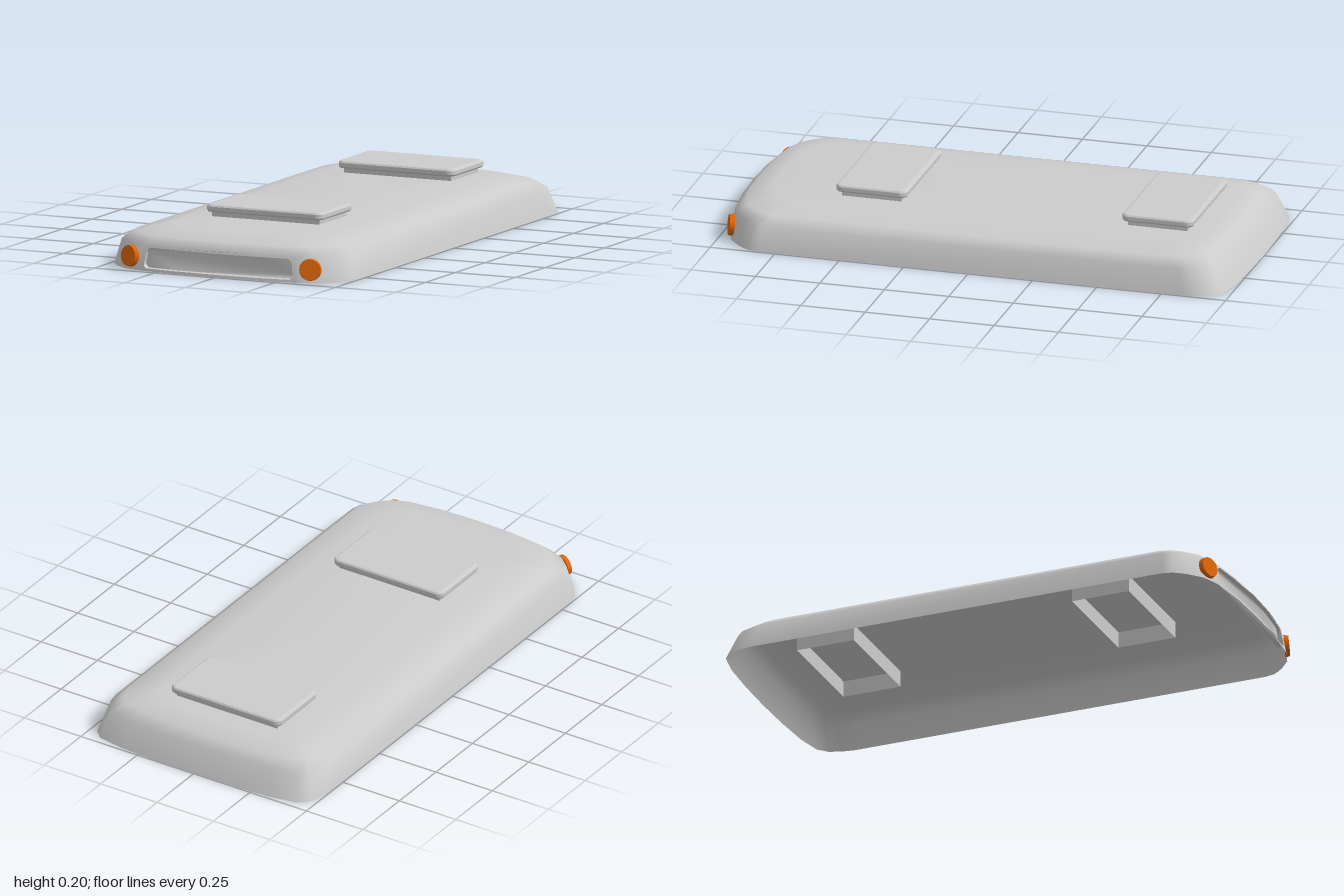
import * as THREE from 'three';

const shellGrey = new THREE.MeshStandardMaterial({ color: 0xcccccc, side: THREE.DoubleSide });
shellGrey.name = 'shell grey';
const lampOrange = new THREE.MeshStandardMaterial({ color: 0xe0660a });
lampOrange.name = 'lamp orange';

// Plan outline at the base, from the middle of the front round the +x side to the back
const half = [[0, 0.995], [0.17, 0.99], [0.33, 0.973], [0.4, 0.947], [0.455, 0.9], [0.485, 0.86], [0.495, 0.82],
  [0.495, -0.84], [0.487, -0.89], [0.47, -0.935], [0.435, -0.968], [0.33, -0.988], [0.17, -0.997], [0, -1]];
const outline = [...half, ...half.slice(1, -1).reverse().map(([x, z]) => [-x, z])];

// Rings up the shell: height, half width, front reach, back reach
const rings = [[0, 0.495, 0.995, 1], [0.095, 0.47, 0.98, 0.958], [0.127, 0.43, 0.945, 0.915], [0.152, 0.315, 0.855, 0.84]];
const PANEL = 0.33, PANEL_TOP = 0.095;

function mesh(name, geometry, material, parent) {
  const m = new THREE.Mesh(geometry, material);
  m.name = name;
  parent.add(m);
  return m;
}

function roundedRect(w, h, r, cy = 0) {
  const s = new THREE.Shape(), x = w / 2, y = h / 2;
  s.absarc(x - r, cy + y - r, r, 0, Math.PI / 2);
  s.absarc(-x + r, cy + y - r, r, Math.PI / 2, Math.PI);
  s.absarc(-x + r, cy - y + r, r, Math.PI, Math.PI * 1.5);
  s.absarc(x - r, cy - y + r, r, Math.PI * 1.5, Math.PI * 2);
  return s;
}

// Front reach of the base outline at a given x
function frontZ(x) {
  const a = Math.abs(x);
  const i = a < 0.17 ? 0 : 1;
  const [[x0, z0], [x1, z1]] = [half[i], half[i + 1]];
  return z0 + (z1 - z0) * (a - x0) / (x1 - x0);
}

// Point on the lower front wall
function onWall(u, y) {
  const t = y / PANEL_TOP;
  return [u * (1 + t * (0.47 / 0.495 - 1)), y, frontZ(u) * (1 + t * (0.98 / 0.995 - 1))];
}

// Hollow shell, open underneath, with a gap for the front panel
function shellGeometry() {
  const pos = [], all = [], kept = [], n = outline.length;
  for (const [y, w, f, b] of rings)
    for (const [x, z] of outline) pos.push(x * w / 0.495, y, z > 0 ? z * f / 0.995 : z * b);
  for (let r = 0; r < rings.length - 1; r++)
    for (let i = 0; i < n; i++) {
      const j = (i + 1) % n, a = r * n + i, b = r * n + j;
      const quad = [a, b, b + n, a, b + n, a + n];
      all.push(...quad);
      const inPanel = r === 0 && [i, j].every(k => outline[k][1] > 0 && Math.abs(outline[k][0]) <= PANEL);
      if (!inPanel) kept.push(...quad);
    }
  const top = (rings.length - 1) * n, centre = pos.length / 3;
  pos.push(0, 0.154, 0);
  for (let i = 0; i < n; i++) {
    const tri = [centre, top + i, top + (i + 1) % n];
    all.push(...tri);
    kept.push(...tri);
  }
  const g = new THREE.BufferGeometry();
  g.setAttribute('position', new THREE.Float32BufferAttribute(pos, 3));
  g.setIndex(all);
  g.computeVertexNormals();
  g.setIndex(kept);
  return g;
}

// Bends a flat shape onto the wall by a rule
function bend(geometry, rule) {
  const p = geometry.attributes.position;
  for (let i = 0; i < p.count; i++) p.setXYZ(i, ...rule(p.getX(i), p.getY(i)));
  geometry.computeVertexNormals();
  return geometry;
}

function addFront(parent) {
  // Opening outline, with extra points so it follows the bowed front
  const raw = roundedRect(0.626, 0.077, 0.02, 0.0485).getPoints(5);
  const pts = [];
  raw.forEach((p, i) => {
    const q = raw[(i + 1) % raw.length];
    if (p.distanceTo(q) < 1e-5) return;
    pts.push(p);
    if (Math.abs(p.x - q.x) > 0.3)
      for (const t of [0.17, 0, -0.17]) pts.push(new THREE.Vector2(Math.sign(p.x) * t, p.y));
  });
  const panel = new THREE.Shape([[-PANEL, 0], [-0.17, 0], [0, 0], [0.17, 0], [PANEL, 0], [PANEL, PANEL_TOP],
    [0.17, PANEL_TOP], [0, PANEL_TOP], [-0.17, PANEL_TOP], [-PANEL, PANEL_TOP]].map(p => new THREE.Vector2(...p)));
  panel.holes.push(new THREE.Path(pts));
  const wall = bend(new THREE.ShapeGeometry(panel), onWall);
  const { position, normal } = wall.attributes, v = new THREE.Vector3();
  for (let i = 0; i < position.count; i++) {
    v.set(position.getX(i) * 0.4, 0.15 + 2.2 * position.getY(i), 0.95).normalize();
    normal.setXYZ(i, v.x, v.y, v.z);
  }
  mesh('frontPanel', wall, shellGrey, parent);

  // Recessed plate and the rim joining it to the wall
  const inset = (u, y) => [onWall(u, y)[0], y, frontZ(u) - 0.027];
  mesh('recessedPlate', bend(new THREE.ShapeGeometry(new THREE.Shape(pts)), inset), shellGrey, parent);
  const pos = [];
  pts.forEach((p, i) => {
    const q = pts[(i + 1) % pts.length];
    const a = onWall(p.x, p.y), b = onWall(q.x, q.y), c = inset(q.x, q.y), d = inset(p.x, p.y);
    pos.push(...a, ...b, ...c, ...a, ...c, ...d);
  });
  const rim = new THREE.BufferGeometry();
  rim.setAttribute('position', new THREE.Float32BufferAttribute(pos, 3));
  rim.computeVertexNormals();
  mesh('recessRim', rim, shellGrey, parent);

  // Round corner lamps
  for (const side of [1, -1]) {
    const g = new THREE.CylinderGeometry(0.039, 0.042, 0.018, 20).rotateX(Math.PI / 2);
    const lamp = mesh(side > 0 ? 'leftLamp' : 'rightLamp', g, lampOrange, parent);
    lamp.position.set(side * 0.374, 0.05, 0.956);
    lamp.rotation.set(-0.1, side * 0.38, 0, 'YXZ');
  }
}

// Roof vent: chamfered lid on an open duct that reaches down inside the shell
function addVent(name, z, parent) {
  const vent = new THREE.Group();
  vent.name = name;
  vent.position.z = z;
  const lid = new THREE.ExtrudeGeometry(roundedRect(0.456, 0.25, 0.015), {
    depth: 0.014, bevelThickness: 0.008, bevelSize: 0.014, bevelSegments: 2, curveSegments: 4,
  }).rotateX(-Math.PI / 2).translate(0, 0.178, 0);
  mesh('ventLid', lid, shellGrey, vent);
  const duct = new THREE.CylinderGeometry(Math.SQRT1_2, Math.SQRT1_2, 0.085, 4, 1, true)
    .rotateY(Math.PI / 4).scale(0.444, 1, 0.23).translate(0, 0.132, 0).toNonIndexed();
  duct.computeVertexNormals();
  mesh('ventDuct', duct, shellGrey, vent);
  parent.add(vent);
}

export function createModel() {
  const model = new THREE.Group();
  model.name = 'roofUnit';
  mesh('shell', shellGeometry(), shellGrey, model);
  addFront(model);
  addVent('frontVent', 0.455, model);
  addVent('rearVent', -0.655, model);
  return model;
}
